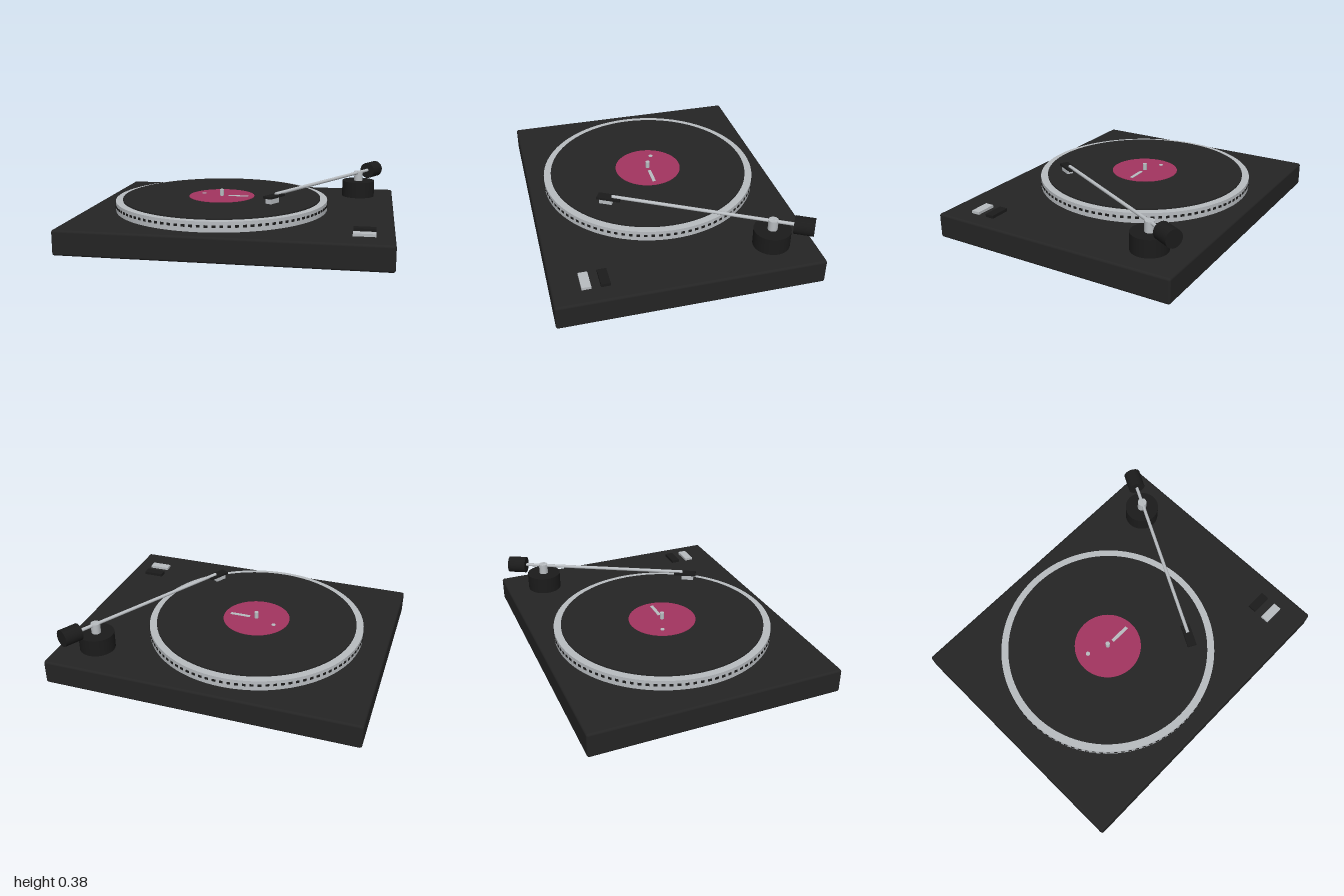
import * as THREE from 'three';
import { RoundedBoxGeometry } from 'three/addons/geometries/RoundedBoxGeometry.js';

const material = (name, color) => {
  const m = new THREE.MeshStandardMaterial({ color });
  m.name = name;
  return m;
};

export function createModel() {
  const model = new THREE.Group();
  model.name = 'turntable';

  const charcoal = material('charcoal', 0x242424);
  const black = material('black', 0x1b1b1b);
  const silver = material('silver', 0xb8bcc0);
  const pink = material('pink', 0xa33560);

  const add = (name, geometry, mat, x, y, z, parent = model) => {
    const mesh = new THREE.Mesh(geometry, mat);
    mesh.name = name;
    mesh.position.set(x, y, z);
    parent.add(mesh);
    return mesh;
  };
  // Upright cylinder given by its bottom and top heights
  const disc = (name, r, y0, y1, mat, x, z, parent = model, sides = 48) =>
    add(name, new THREE.CylinderGeometry(r, r, y1 - y0, sides), mat, x, (y0 + y1) / 2, z, parent);

  // Plinth
  const top = 0.157;
  add('plinth', new RoundedBoxGeometry(2, top, 1.61, 3, 0.015), charcoal, 0, top / 2, 0);

  // Platter, record and label share one axis
  const deck = new THREE.Group();
  deck.name = 'platterAssembly';
  deck.position.x = -0.133;
  model.add(deck);
  disc('platter', 0.702, top - 0.002, 0.222, silver, 0, 0, deck, 96);
  disc('record', 0.655, 0.22, 0.231, charcoal, 0, 0, deck, 96);
  disc('label', 0.218, 0.23, 0.234, pink, 0, 0, deck, 64);
  disc('spindle', 0.014, 0.23, 0.277, silver, 0, 0, deck, 24);
  disc('labelDot', 0.014, 0.233, 0.237, silver, -0.132, -0.053, deck, 24);
  add('labelStripe', new THREE.BoxGeometry(0.133, 0.004, 0.022), silver, 0.112, 0.235, 0, deck);

  // Ring of dark strobe marks round the platter
  const marks = 96;
  const markShape = new THREE.BoxGeometry(0.022, 0.015, 0.006);
  for (let i = 0; i < marks; i++) {
    const a = (i / marks) * Math.PI * 2;
    const mark = add('strobeMark', markShape, black, Math.sin(a) * 0.702, 0.193, Math.cos(a) * 0.702, deck);
    mark.rotation.y = a;
  }

  // Tonearm: local +z runs from the pivot towards the headshell
  const arm = new THREE.Group();
  arm.name = 'tonearm';
  arm.position.set(0.757, 0, -0.545);
  arm.rotation.y = -0.504;
  model.add(arm);
  disc('armBase', 0.113, top - 0.002, 0.267, black, 0, 0, arm);
  disc('pivotPost', 0.03, 0.265, 0.334, silver, 0, 0, arm, 32);

  const rod = (name, r, z0, z1, y, mat) => {
    const g = new THREE.CylinderGeometry(r, r, z1 - z0, 32).rotateX(Math.PI / 2);
    add(name, g, mat, 0, y, (z0 + z1) / 2, arm);
  };
  rod('armTube', 0.011, -0.125, 1.0, 0.324, silver);
  rod('counterweight', 0.055, -0.243, -0.122, 0.322, black);
  add('headshell', new THREE.BoxGeometry(0.058, 0.014, 0.15), black, 0, 0.314, 1.018, arm);
  add('cartridge', new THREE.BoxGeometry(0.041, 0.034, 0.081), silver, 0, 0.291, 1.037, arm);

  // Control buttons
  const button = new THREE.BoxGeometry(0.133, 0.02, 0.056);
  add('powerButton', button, black, 0.823, 0.166, 0.497);
  add('startButton', button, silver, 0.823, 0.164, 0.608);

  return model;
}
